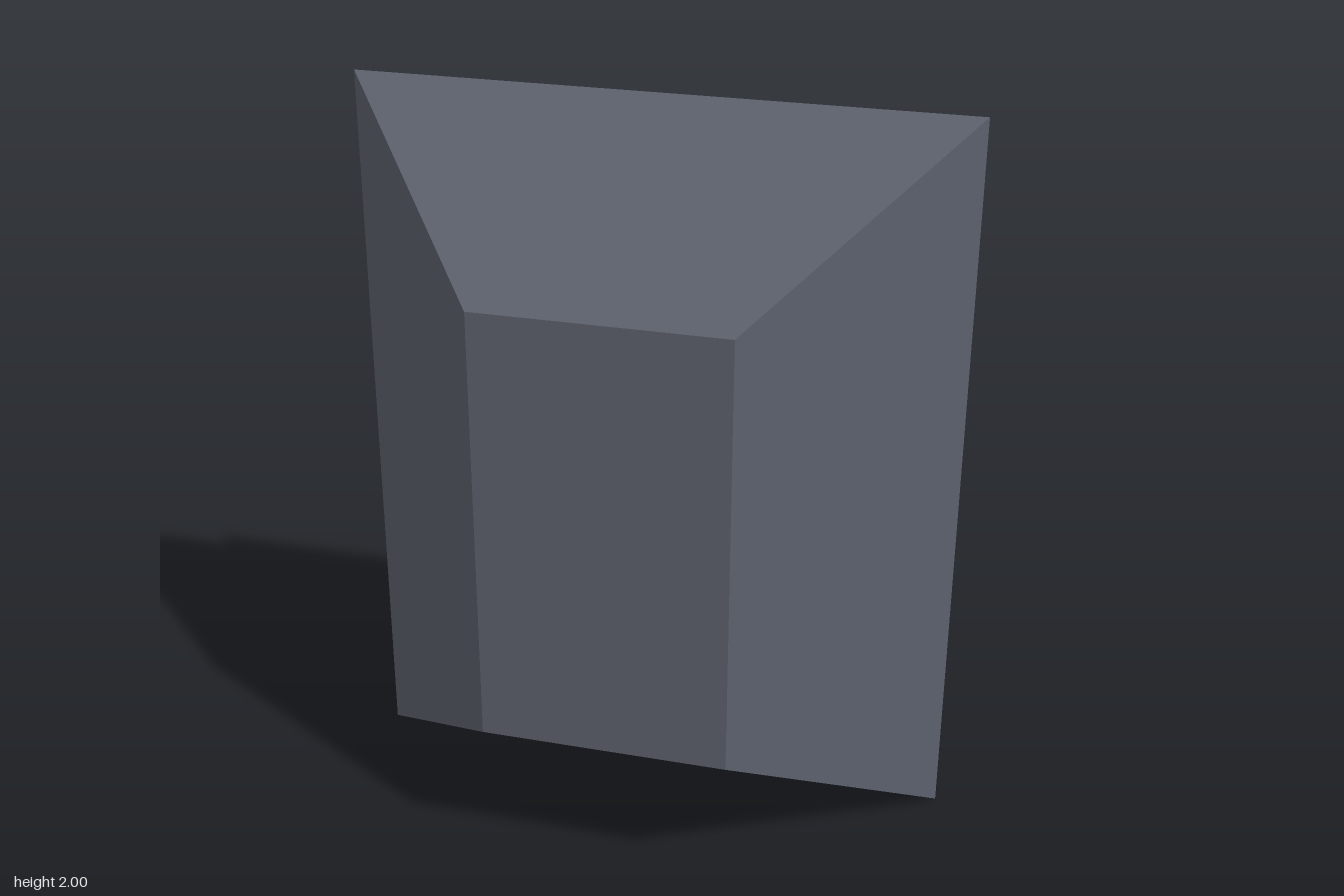
import * as THREE from 'three';

const material = (name, color) => {
  const m = new THREE.MeshStandardMaterial({ color });
  m.name = name;
  return m;
};

// Block whose front and back rectangles may differ in size
function taperedBlock(name, mat, front, back, zFront, zBack) {
  const geo = new THREE.BoxGeometry(1, 1, 1);
  const p = geo.attributes.position;
  for (let i = 0; i < p.count; i++) {
    const isFront = p.getZ(i) > 0;
    const [w, h] = isFront ? front : back;
    p.setXYZ(i, p.getX(i) * w, p.getY(i) * h, isFront ? zFront : zBack);
  }
  geo.computeVertexNormals();
  const mesh = new THREE.Mesh(geo, mat);
  mesh.name = name;
  mesh.position.y = 1;
  return mesh;
}

export function createModel() {
  const slate = material('slate grey', 0x5c606c);
  const teal = material('teal', 0x60bec6);
  const silver = material('silver grey', 0xc0c4cb);

  const model = new THREE.Group();
  model.name = 'taperedPanel';
  model.add(
    // large sloped body, narrowing towards the front
    taperedBlock('frontBody', slate, [0.66, 1.2], [1.64, 2], 0.445, -0.125),
    // plate behind it, its narrow end sunk slightly into the body
    taperedBlock('backPlate', teal, [0.48, 0.9], [1.2, 1.5], -0.105, -0.285),
    // square mount at the rear
    taperedBlock('rearMount', silver, [0.5, 0.5], [0.5, 0.5], -0.285, -0.445),
  );
  return model;
}
